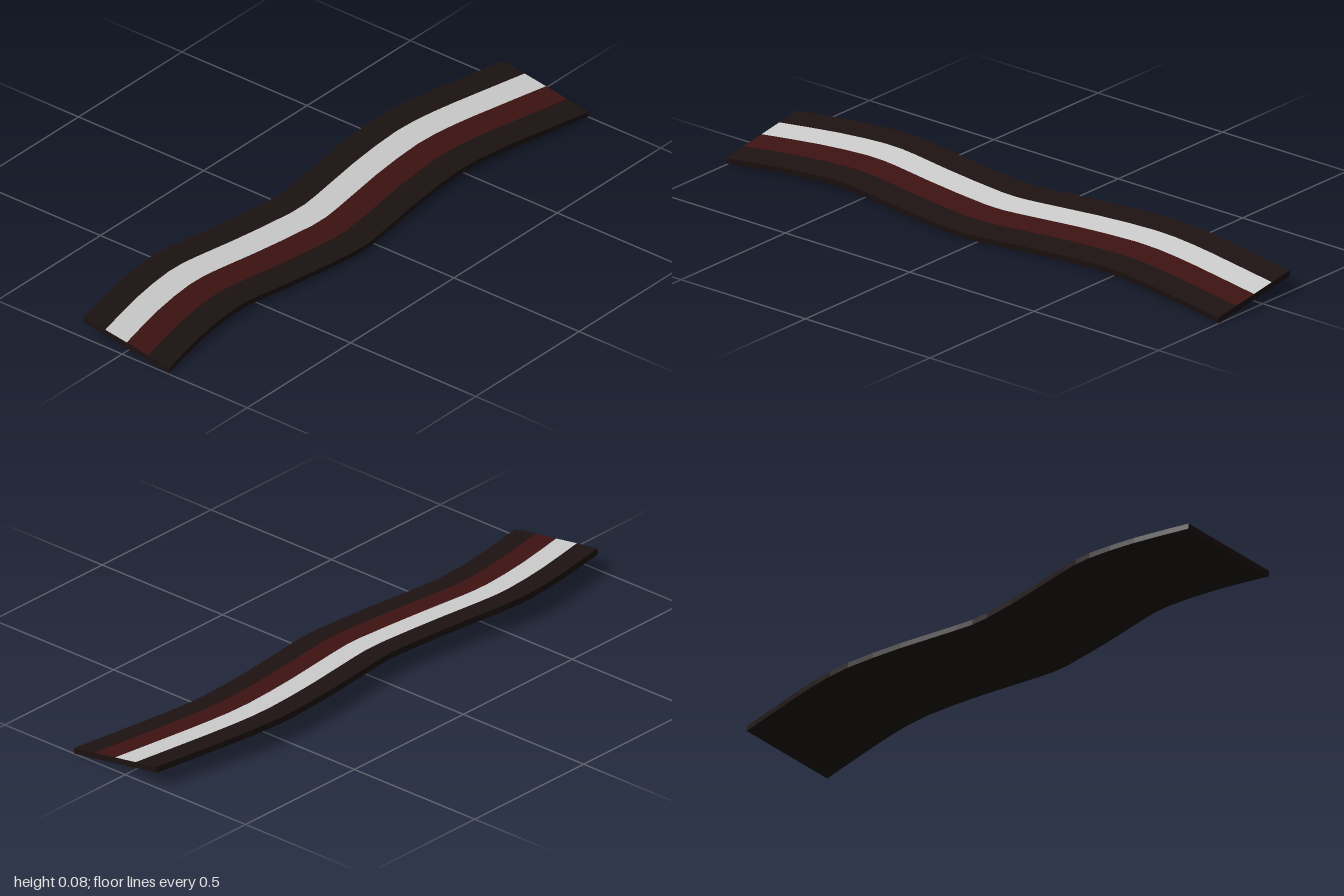
import * as THREE from 'three';

const TILT = -0.15;      // sideways slope of the whole strip
const HALF = 0.173;      // half width of the strip
const THICK = 0.019;

// Winding centre line as (z, sideways offset), running back to front
const centreLine = new THREE.SplineCurve([
  [-1, 0.041], [-0.8, 0.005], [-0.63, -0.023], [-0.47, -0.035], [-0.25, -0.019], [-0.03, 0.01],
  [0.1, 0.016], [0.35, -0.013], [0.5, -0.036], [0.62, -0.044], [0.8, -0.024], [1, 0.017],
].map(([z, x]) => new THREE.Vector2(x, z))).getPoints(22);

// Outline of a band between two sideways offsets from the centre line
function bandShape(from, to) {
  const side = (offset) => centreLine.map((p) => new THREE.Vector2(p.x + offset, -p.y));
  return new THREE.Shape([...side(from), ...side(to).reverse()]);
}

function addPart(group, name, geometry, color, height) {
  geometry.rotateX(-Math.PI / 2);
  geometry.translate(0, height, 0);
  const mesh = new THREE.Mesh(geometry, new THREE.MeshStandardMaterial({ color }));
  mesh.name = name;
  group.add(mesh);
}

export function createModel() {
  const strip = new THREE.Group();
  strip.name = 'wavyStrip';

  // Dark slab
  const slab = new THREE.ExtrudeGeometry(bandShape(-HALF, HALF), { depth: THICK, bevelEnabled: false });
  addPart(strip, 'slab', slab, 0x1c1211, -THICK / 2);

  // Two coloured bands lying on the top face, each a quarter of the width
  const top = THICK / 2 + 0.0008;
  addPart(strip, 'paleStripe', new THREE.ShapeGeometry(bandShape(-HALF / 2, 0)), 0xcccccc, top);
  addPart(strip, 'redStripe', new THREE.ShapeGeometry(bandShape(0, HALF / 2)), 0x3d1212, top);

  strip.rotation.z = TILT;
  strip.position.y = 0.043;

  const model = new THREE.Group();
  model.name = 'stripedRibbon';
  model.add(strip);
  return model;
}
